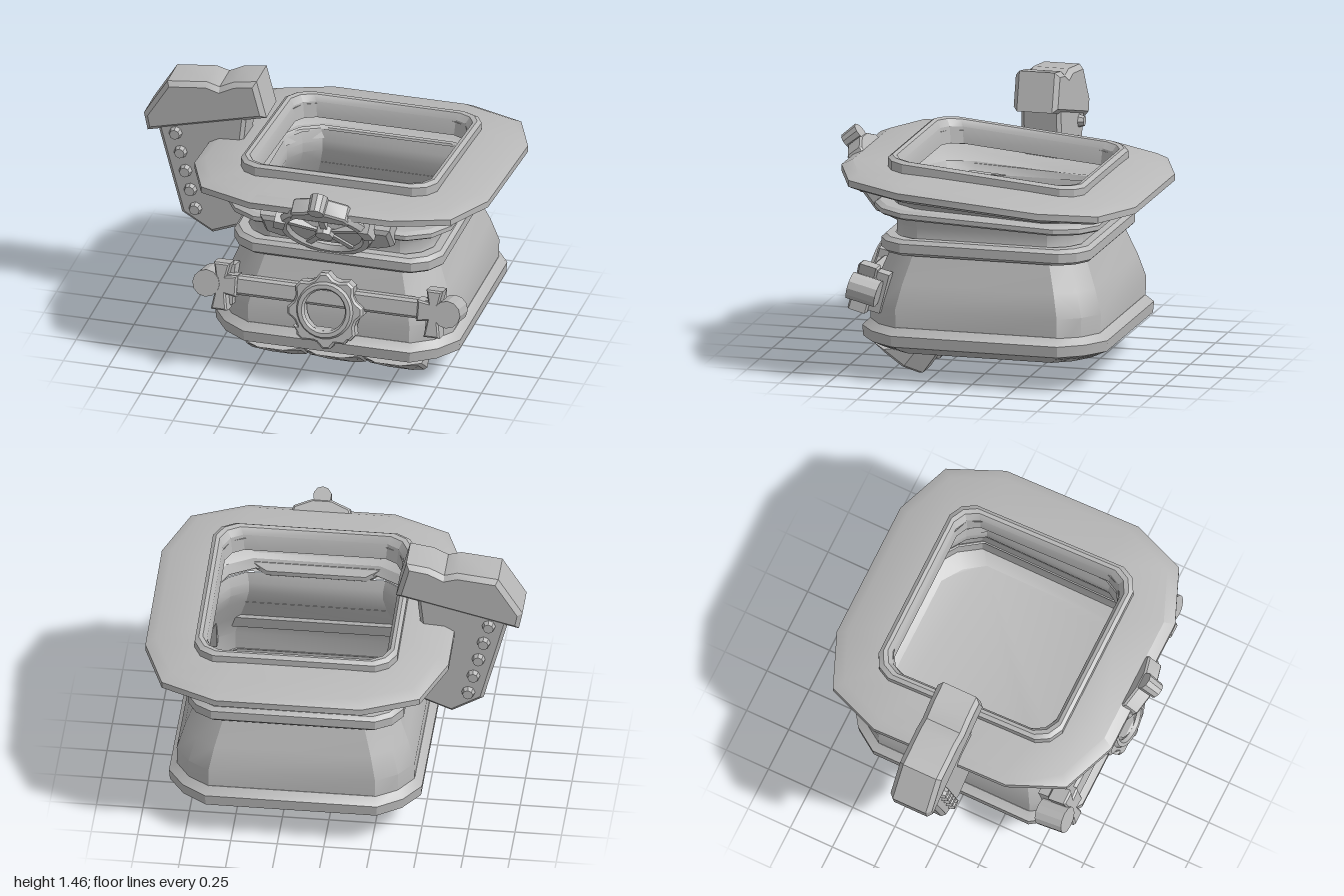
import * as THREE from 'three';
import { toCreasedNormals } from 'three/addons/utils/BufferGeometryUtils.js';

const grey = new THREE.MeshStandardMaterial({ color: 0xb8b8b8, side: THREE.DoubleSide });
grey.name = 'plain grey';

const CX = 0.18, CZ = -0.04;

function add(parent, name, geo, x = 0, y = 0, z = 0, rx = 0, ry = 0, rz = 0) {
  const mesh = new THREE.Mesh(toCreasedNormals(geo, 0.45), grey);
  mesh.name = name;
  mesh.position.set(x, y, z);
  mesh.rotation.set(rx, ry, rz);
  parent.add(mesh);
  return mesh;
}

const box = (w, h, d) => new THREE.BoxGeometry(w, h, d);
const cyl = (r1, r2, h, n) => new THREE.CylinderGeometry(r1, r2, h, n);

// Square section with two-step corners: s = end of the straight side, m = corner point
function section(half, y, slope, s, m) {
  const pts = [];
  for (let q = 0; q < 4; q++) {
    const c = Math.round(Math.cos(q * Math.PI / 2)), n = Math.round(Math.sin(q * Math.PI / 2));
    for (const [u, v] of [[1, -s], [1, s], [m, m]]) {
      const x = (u * c - v * n) * half, z = (u * n + v * c) * half;
      pts.push([x, y + slope * z, z]);
    }
  }
  return pts;
}

// Skin through sections given as [half, y]
function loft(profile, slope, s, m, capBottom = false) {
  const rows = profile.map(([h, y]) => section(h, y, slope, s, m));
  const n = 12, pos = [], idx = [];
  rows.forEach(r => r.forEach(p => pos.push(...p)));
  for (let r = 0; r < rows.length - 1; r++) {
    for (let i = 0; i < n; i++) {
      const j = (i + 1) % n;
      const a = r * n + i, b = a + n, c = r * n + j, d = c + n;
      idx.push(a, b, c, c, b, d);
    }
  }
  if (capBottom) for (let i = 1; i < n - 1; i++) idx.push(0, i, i + 1);
  const g = new THREE.BufferGeometry();
  g.setAttribute('position', new THREE.Float32BufferAttribute(pos, 3));
  g.setIndex(idx);
  g.computeVertexNormals();
  return g;
}

// Bevelled plate from an outline, centred on z = 0
function plate(points, depth, bevel, hole) {
  const shape = new THREE.Shape(points.map(p => new THREE.Vector2(...p)));
  if (hole) shape.holes.push(new THREE.Path().absarc(0, 0, hole, 0, Math.PI * 2, true));
  const g = new THREE.ExtrudeGeometry(shape, {
    depth: depth - 2 * bevel, bevelEnabled: bevel > 0, bevelThickness: bevel,
    bevelSize: bevel, bevelOffset: -bevel, bevelSegments: 1, curveSegments: 10,
  });
  return g.translate(0, 0, -depth / 2 + bevel);
}

// Tilted octagonal prism, cut flat where it meets the underside of the tub
function footGeometry() {
  const k = 0.165, q = 0.07;
  const g = plate([[-k, -q], [-q, -k], [q, -k], [k, -q], [k, q], [q, k], [-q, k], [-k, q]], 0.15, 0.015);
  g.translate(0, 0, -0.075).rotateX(0.95).translate(0, 0.105, 0.465);
  const p = g.attributes.position;
  for (let i = 0; i < p.count; i++) p.setY(i, Math.min(p.getY(i), 0.168));
  return g;
}

export function createModel() {
  const model = new THREE.Group();
  model.name = 'squareTub';

  // Tub: base, walls and neck
  const tub = new THREE.Group();
  tub.name = 'tub';
  tub.position.set(CX, 0, CZ);
  model.add(tub);
  add(tub, 'wall', loft([[0.57, 0.165], [0.635, 0.2], [0.64, 0.42], [0.6, 0.55], [0.54, 0.7],
    [0.515, 0.785], [0.515, 0.84], [0.53, 0.9]], 0, 0.7, 0.88, true));
  add(tub, 'baseBand', loft([[0.57, 0.165], [0.675, 0.22], [0.68, 0.28], [0.64, 0.32], [0.63, 0.32]], 0, 0.68, 0.87));
  add(tub, 'middleBand', loft([[0.54, 0.695], [0.565, 0.7], [0.58, 0.715], [0.58, 0.765], [0.56, 0.785], [0.515, 0.785]], 0, 0.76, 0.91));
  add(tub, 'neckBand', loft([[0.53, 0.885], [0.61, 0.89], [0.622, 0.9], [0.622, 0.925], [0.6, 0.94], [0.54, 0.94]], 0.04, 0.68, 0.88));

  // Tilted rim with a raised lip round the opening
  add(tub, 'flare', loft([[0.53, 0.89], [0.55, 0.94], [0.61, 0.985], [0.71, 1.015]], 0.07, 0.62, 0.87));
  add(tub, 'rim', loft([[0.6, 1.02], [0.76, 1.01], [0.815, 1.035], [0.815, 1.07], [0.76, 1.1], [0.53, 1.115]], 0.08, 0.48, 0.85));
  add(tub, 'lip', loft([[0.545, 1.09], [0.545, 1.155], [0.525, 1.17], [0.505, 1.165], [0.485, 1.13], [0.475, 1.04]], 0.09, 0.8, 0.93));

  // Hand wheel leaning out under the front rim
  add(model, 'wheelMount', plate([[-0.36, -0.07], [-0.27, -0.12], [0.27, -0.12], [0.36, -0.07], [0.36, 0.1], [-0.36, 0.1]], 0.12, 0.02),
    CX, 0.965, 0.585, 0.66);
  const wheel = new THREE.Group();
  wheel.name = 'handWheel';
  wheel.position.set(CX, 0.965, 0.655);
  wheel.rotation.x = 0.67;
  model.add(wheel);
  add(wheel, 'wheelRing', new THREE.TorusGeometry(0.227, 0.032, 6, 24));
  add(wheel, 'wheelHub', cyl(0.05, 0.06, 0.08, 8), 0, 0, 0, Math.PI / 2);
  add(wheel, 'wheelAxle', cyl(0.035, 0.035, 0.12, 8), 0, 0, -0.06, Math.PI / 2);
  for (let i = 0; i < 5; i++) {
    const a = Math.PI / 2 + i * Math.PI * 0.4;
    add(wheel, 'wheelSpoke', box(0.2, 0.034, 0.034), Math.cos(a) * 0.125, Math.sin(a) * 0.125, 0, 0, 0, a);
  }
  for (const a of [0.25, Math.PI - 0.25]) {
    add(wheel, 'wheelLug', box(0.06, 0.09, 0.075), Math.cos(a) * 0.25, Math.sin(a) * 0.25, 0, 0, 0, a);
  }
  add(wheel, 'wheelTopClamp', plate([[-0.17, -0.07], [0.17, -0.07], [0.15, -0.01], [0.05, 0.03], [-0.05, 0.03], [-0.15, -0.01]], 0.1, 0.01),
    0, 0.23, -0.02);
  add(wheel, 'wheelKnob', cyl(0.045, 0.05, 0.1, 10), 0, 0.28, -0.015, Math.PI / 2);

  // Front latch: cross bar, toothed ring and end brackets
  const latch = new THREE.Group();
  latch.name = 'frontLatch';
  latch.position.set(CX, 0.53, 0.59);
  latch.rotation.x = -0.25;
  model.add(latch);
  add(latch, 'crossBar', plate([[-0.6, -0.05], [0.6, -0.05], [0.6, 0.055], [-0.6, 0.055]], 0.08, 0.015));
  const teeth = [];
  for (let i = 0; i < 32; i++) {
    const a = i / 32 * Math.PI * 2, r = i % 4 < 2 ? 0.21 : 0.18;
    teeth.push([Math.cos(a) * r, Math.sin(a) * r]);
  }
  add(latch, 'toothedRing', plate(teeth, 0.09, 0.012, 0.12), 0, -0.065, 0.03);
  add(latch, 'ringCollar', new THREE.TorusGeometry(0.135, 0.022, 6, 24), 0, -0.06, 0.075);
  add(latch, 'ringFoot', plate([[-0.17, 0.05], [-0.12, -0.02], [0.12, -0.02], [0.17, 0.05]], 0.07, 0.01), 0, -0.215, 0.04);
  for (const s of [-1, 1]) {
    add(latch, 'endBracket', plate([[-0.045, -0.14], [0.045, -0.14], [0.03, -0.05], [0.09, -0.06], [0.09, 0.06], [0.03, 0.05],
      [0.045, 0.12], [-0.045, 0.12], [-0.03, 0.05], [-0.09, 0.06], [-0.09, -0.06], [-0.03, -0.05]], 0.11, 0.01), s * 0.59, 0, 0);
    add(latch, 'endStub', cyl(0.075, 0.075, 0.16, 12), s * 0.668, 0, -0.02, Math.PI / 2);
    add(latch, 'bracketBack', box(0.08, 0.22, 0.1), s * 0.575, -0.01, -0.07);
  }

  // Three octagonal feet under the front edge
  for (let i = -1; i <= 1; i++) add(model, 'frontFoot', footGeometry(), CX + i * 0.327);

  // Side arm with bolts and an angled head
  const arm = new THREE.Group();
  arm.name = 'sideArm';
  arm.position.z = -0.045;
  model.add(arm);
  add(arm, 'armPlate', plate([[-0.93, 1.16], [-0.79, 0.63], [-0.62, 0.53], [-0.42, 0.61], [-0.38, 0.8],
    [-0.46, 1.0], [-0.43, 1.28], [-0.6, 1.3]], 0.22, 0.02));
  add(arm, 'armHead', plate([[-0.98, 1.1], [-0.32, 1.265], [-0.375, 1.475], [-0.5, 1.455], [-0.58, 1.415],
    [-0.65, 1.435], [-0.87, 1.41], [-1, 1.2]], 0.245, 0.025));
  for (let i = 0; i < 5; i++) {
    for (const s of [-1, 1]) {
      add(arm, 'armBolt', cyl(0.028, 0.038, 0.035, 8), -0.82 + i * 0.0275, 1.11 - i * 0.11, s * 0.122, s * Math.PI / 2);
    }
  }
  return model;
}
